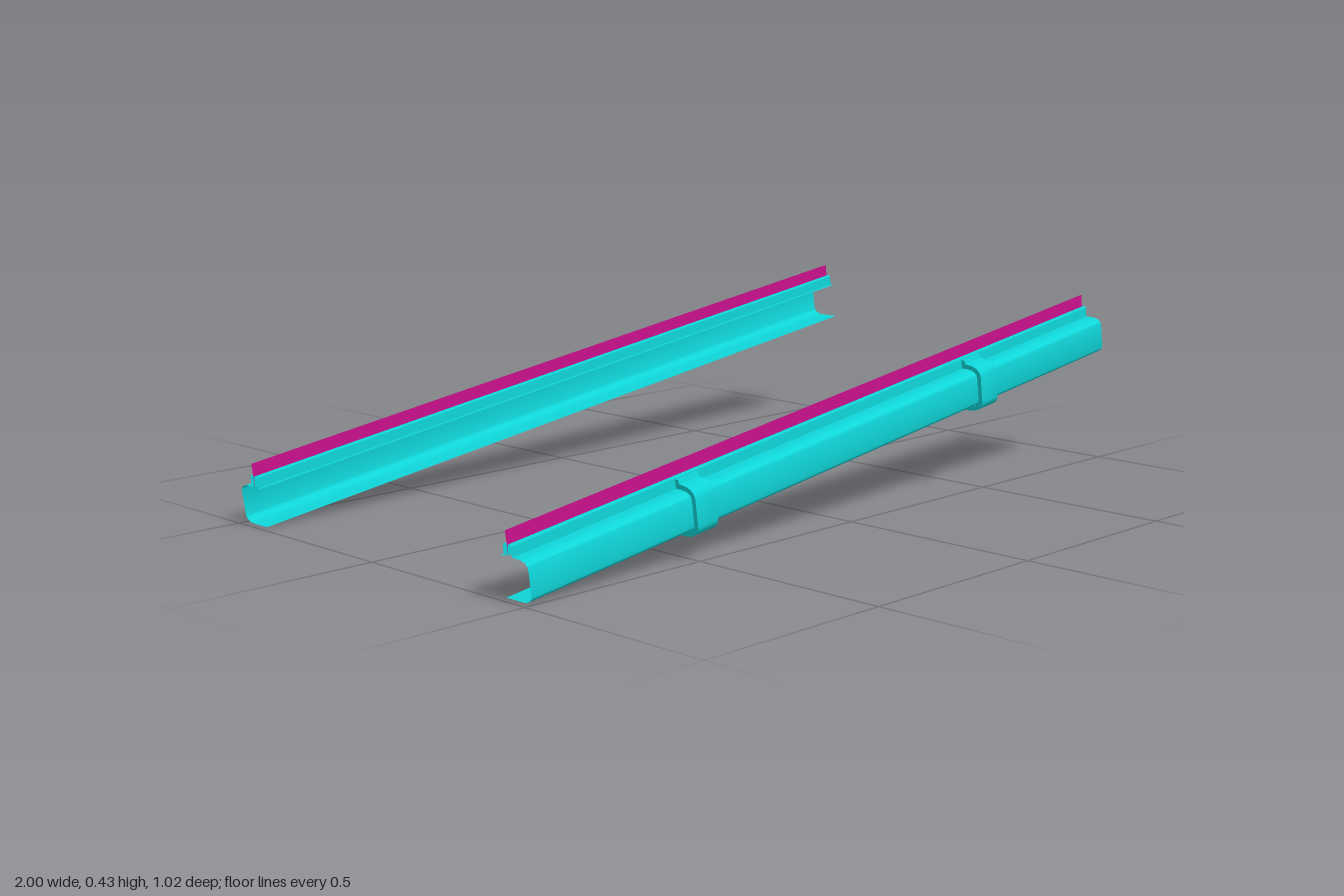
import * as THREE from 'three';
import { toCreasedNormals } from 'three/addons/utils/BufferGeometryUtils.js';

const LENGTH = 1.998;
const TILT = THREE.MathUtils.degToRad(8);
const teal = new THREE.MeshStandardMaterial({ color: 0x0fd5d8, side: THREE.DoubleSide });
const magenta = new THREE.MeshStandardMaterial({ color: 0xc8108a, side: THREE.DoubleSide });

// Elliptical corner as [z, y] points; angles in degrees
function corner(cz, cy, rz, ry, from, to, steps = 4) {
  return Array.from({ length: steps + 1 }, (_, i) => {
    const a = THREE.MathUtils.degToRad(from + ((to - from) * i) / steps);
    return [cz + rz * Math.cos(a), cy + ry * Math.sin(a)];
  });
}

// Thin sheet: an open [z, y] profile swept along x
function sheet(profile, side) {
  const h = LENGTH / 2;
  const pos = [];
  for (let i = 0; i < profile.length - 1; i++) {
    const [z0, y0] = profile[i];
    const [z1, y1] = profile[i + 1];
    const a = [-h, y0, z0 * side], b = [h, y0, z0 * side];
    const c = [h, y1, z1 * side], d = [-h, y1, z1 * side];
    const quad = side > 0 ? [a, b, c, a, c, d] : [a, c, b, a, d, c];
    quad.forEach((p) => pos.push(...p));
  }
  const geo = new THREE.BufferGeometry();
  geo.setAttribute('position', new THREE.Float32BufferAttribute(pos, 3));
  return toCreasedNormals(geo, 0.5);
}

// Solid band: a closed [z, y] outline extruded along x about the origin
function band(outline, width, side) {
  const shape = new THREE.Shape(outline.map(([z, y]) => new THREE.Vector2(z * side, y)));
  const geo = new THREE.ExtrudeGeometry(shape, { depth: width, bevelEnabled: false });
  geo.translate(0, 0, -width / 2).rotateY(-Math.PI / 2);
  return toCreasedNormals(geo, 0.5);
}

function part(name, geometry, material) {
  const mesh = new THREE.Mesh(geometry, material);
  mesh.name = name;
  return mesh;
}

function createRail(side) {
  const rail = new THREE.Group();
  rail.name = side > 0 ? 'frontRail' : 'backRail';

  // C-shaped channel, open inwards, with two folded ridges forming a slot on top
  const channel = [
    [0.42, 0],
    ...corner(0.472, 0.018, 0.028, 0.018, -90, 0),
    ...corner(0.472, 0.076, 0.028, 0.017, 0, 90),
    [0.455, 0.093], [0.455, 0.117], [0.453, 0.12], [0.446, 0.12], [0.444, 0.117],
    [0.444, 0.095], [0.441, 0.095],
    [0.441, 0.117], [0.439, 0.12], [0.432, 0.12], [0.43, 0.117], [0.43, 0.093],
    [0.42, 0.093],
  ];
  rail.add(part('channel', sheet(channel, side), teal));

  // Thin strip standing in the slot
  rail.add(part('insertStrip', sheet([[0.4425, 0.096], [0.4425, 0.15]], side), magenta));

  // Clips wrapped around the outside of the channel
  const outer = [
    [0.452, -0.012],
    ...corner(0.475, 0.014, 0.037, 0.026, -90, 0),
    ...corner(0.475, 0.079, 0.037, 0.026, 0, 90),
    [0.467, 0.106], [0.464, 0.115], [0.456, 0.115],
  ];
  const inner = [
    [0.456, 0.094],
    ...corner(0.472, 0.076, 0.029, 0.018, 90, 0),
    ...corner(0.472, 0.018, 0.029, 0.019, 0, -90),
    [0.452, -0.001],
  ];
  for (const x of [-0.5, 0.5]) {
    const clip = part('clip', band([...outer, ...inner], 0.062, side), teal);
    clip.position.x = x;
    rail.add(clip);
  }

  rail.rotation.z = TILT;
  rail.position.set(0.0104, (LENGTH / 2) * Math.sin(TILT), 0);
  return rail;
}

export function createModel() {
  const model = new THREE.Group();
  model.name = 'railPair';
  for (const side of [1, -1]) model.add(createRail(side));
  return model;
}
